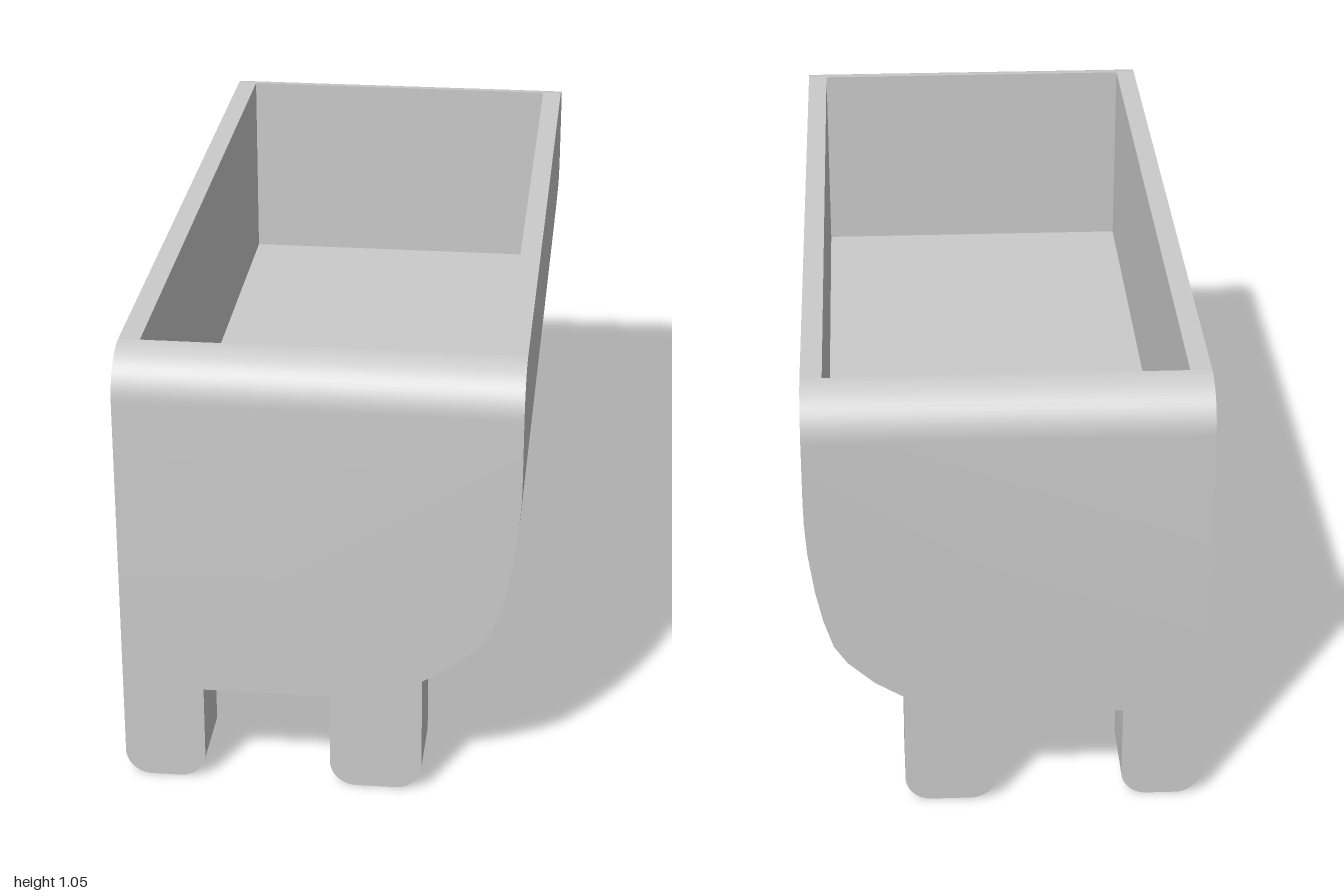
import * as THREE from 'three';
import { toCreasedNormals } from 'three/addons/utils/BufferGeometryUtils.js';

const TOP = 1.047, FLOOR = 0.565, BASE = 0.232;
const HALF_W = 0.448, INNER_X = 0.4, INNER_Z = 0.893, LIP = 1 - INNER_Z;

// curved underside of the right-leg end, from the flat base up to the straight wall
const belly = [[0.025, BASE], [0.09, 0.236], [0.16, 0.253], [0.235, 0.285], [0.3, 0.325], [0.36, 0.38],
  [0.39, 0.425], [0.412, 0.495], [0.428, 0.57], [0.442, 0.67], [0.447, 0.745], [HALF_W, 0.8]];
const outline = [[-HALF_W, BASE], ...belly, [HALF_W, TOP]];

const toShape = (pts) => new THREE.Shape(pts.map(([x, y]) => new THREE.Vector2(x, y)));

export function createModel() {
  const group = new THREE.Group();
  const material = new THREE.MeshStandardMaterial({ color: 0xcccccc });

  const add = (name, geometry) => {
    const mesh = new THREE.Mesh(toCreasedNormals(geometry, 0.6), material);
    mesh.name = name;
    group.add(mesh);
  };

  // Trough: open-topped section between the two end walls
  const trough = toShape([...outline, [INNER_X, TOP], [INNER_X, FLOOR],
    [-INNER_X, FLOOR], [-INNER_X, TOP], [-HALF_W, TOP]]);
  add('trough', new THREE.ExtrudeGeometry(trough, { depth: 2 * INNER_Z, bevelEnabled: false })
    .translate(0, 0, -INNER_Z));

  // Leg: rounded foot, top edge following the underside of the body
  const legShape = (x0, x1, top) => {
    const r = 0.06, s = new THREE.Shape();
    s.moveTo(x0, BASE);
    s.lineTo(x0, r);
    s.absarc(x0 + r, r, r, Math.PI, Math.PI * 1.5, false);
    s.lineTo(x1 - r, 0);
    s.absarc(x1 - r, r, r, Math.PI * 1.5, Math.PI * 2, false);
    top.forEach(([x, y]) => s.lineTo(x, y));
    s.closePath();
    return s;
  };
  const legs = {
    RightLeg: legShape(-HALF_W, -0.263, [[-0.263, BASE]]),
    LeftLeg: legShape(0.025, 0.235, belly.slice(1, 4).reverse()),
  };
  const legDepth = 0.172;

  for (const [end, side] of [['front', 1], ['back', -1]]) {
    // End wall: full section whose top edge rolls over in a quarter round
    const wall = new THREE.ExtrudeGeometry(toShape([...outline, [-HALF_W, TOP]]),
      { depth: 1, steps: 12, bevelEnabled: false });
    const p = wall.attributes.position;
    for (let i = 0; i < p.count; i++) {
      const t = side > 0 ? p.getZ(i) : 1 - p.getZ(i);
      const a = t * Math.PI / 2;
      p.setZ(i, side * (INNER_Z + LIP * Math.sin(a)));
      if (p.getY(i) > 1) p.setY(i, TOP - LIP * (1 - Math.cos(a)));
    }
    add(end + 'Wall', wall);

    for (const [name, shape] of Object.entries(legs)) {
      const leg = new THREE.ExtrudeGeometry(shape, { depth: legDepth, bevelEnabled: false, curveSegments: 8 });
      add(end + name, leg.translate(0, 0, side > 0 ? 1 - legDepth : -1));
    }
  }
  return group;
}
